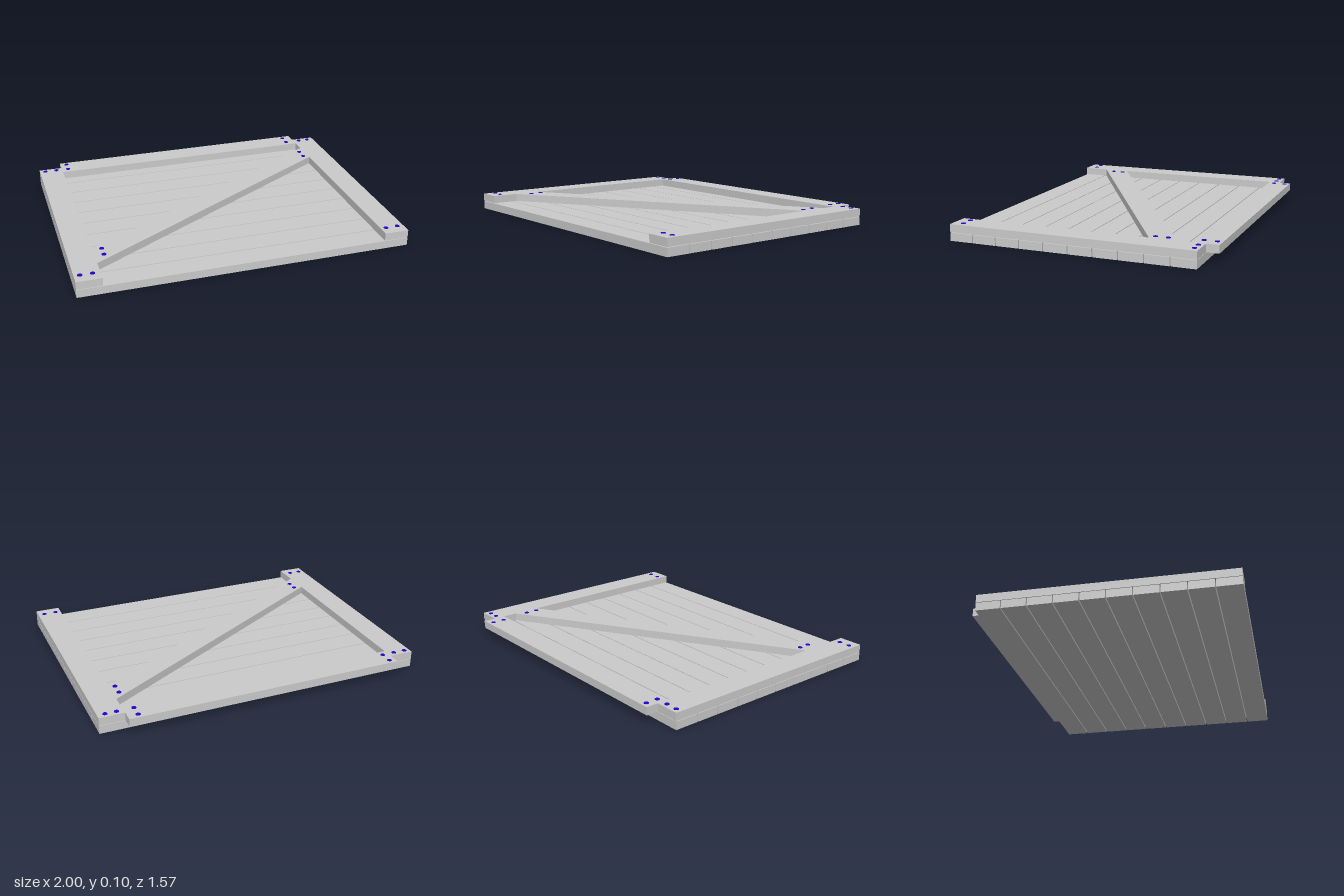
import * as THREE from 'three';

const wood = new THREE.MeshStandardMaterial({ color: 0xcccccc, flatShading: true });
const nailMaterial = new THREE.MeshStandardMaterial({ color: 0x2200cc });

const PLANK_TOP = 0.049, FRAME_BOTTOM = 0.052, FRAME_TOP = 0.1;
const FRONT = 0.785, INNER = 0.85;

export function createModel() {
  const model = new THREE.Group();

  // Box board given by its extents
  function board(name, x0, x1, y0, y1, z0, z1) {
    const mesh = new THREE.Mesh(new THREE.BoxGeometry(x1 - x0, y1 - y0, z1 - z0), wood);
    mesh.position.set((x0 + x1) / 2, (y0 + y1) / 2, (z0 + z1) / 2);
    mesh.name = name;
    model.add(mesh);
  }

  // Ten floor planks with narrow gaps
  const count = 10, pitch = 0.15, gap = 0.006;
  for (let i = 0; i < count; i++) {
    const z1 = FRONT - i * pitch;
    board('plank' + (i + 1), -1, 1, 0, PLANK_TOP, z1 - pitch + gap, z1);
  }

  // Side battens and the overhanging back rail
  board('leftBatten', INNER, 1, FRAME_BOTTOM, FRAME_TOP, -0.71, FRONT);
  board('rightBatten', -1, -INNER, FRAME_BOTTOM, FRAME_TOP, -0.71, FRONT);
  board('backRail', -INNER, INNER, FRAME_BOTTOM, FRAME_TOP, -FRONT, -0.64);

  // Diagonal brace with ends cut flush to the battens
  const outline = new THREE.Shape([
    [-INNER, -0.62], [INNER, 0.385], [INNER, 0.55], [-INNER, -0.455],
  ].map(([x, y]) => new THREE.Vector2(x, y)));
  const braceGeometry = new THREE.ExtrudeGeometry(outline, {
    depth: FRAME_TOP - FRAME_BOTTOM, bevelEnabled: false,
  });
  braceGeometry.rotateX(-Math.PI / 2);
  const brace = new THREE.Mesh(braceGeometry, wood);
  brace.position.y = FRAME_BOTTOM;
  brace.name = 'diagonalBrace';
  model.add(brace);

  // Nail heads, as x and z positions
  const nails = new THREE.Group();
  nails.name = 'nails';
  const nailGeometry = new THREE.CylinderGeometry(0.014, 0.014, 0.006, 20);
  const spots = [
    [-0.965, -0.68], [-0.89, -0.68], [-0.81, -0.68], [-0.81, -0.755],
    [0.79, -0.755], [0.79, -0.68], [0.89, -0.68], [0.955, -0.68],
    [0.815, -0.485], [0.815, -0.41], [-0.795, 0.465], [-0.795, 0.535],
    [-0.965, 0.72], [-0.895, 0.72], [0.885, 0.72], [0.96, 0.72],
  ];
  for (const [x, z] of spots) {
    const nail = new THREE.Mesh(nailGeometry, nailMaterial);
    nail.position.set(x, FRAME_TOP, z);
    nail.name = 'nailHead';
    nails.add(nail);
  }
  model.add(nails);

  return model;
}
